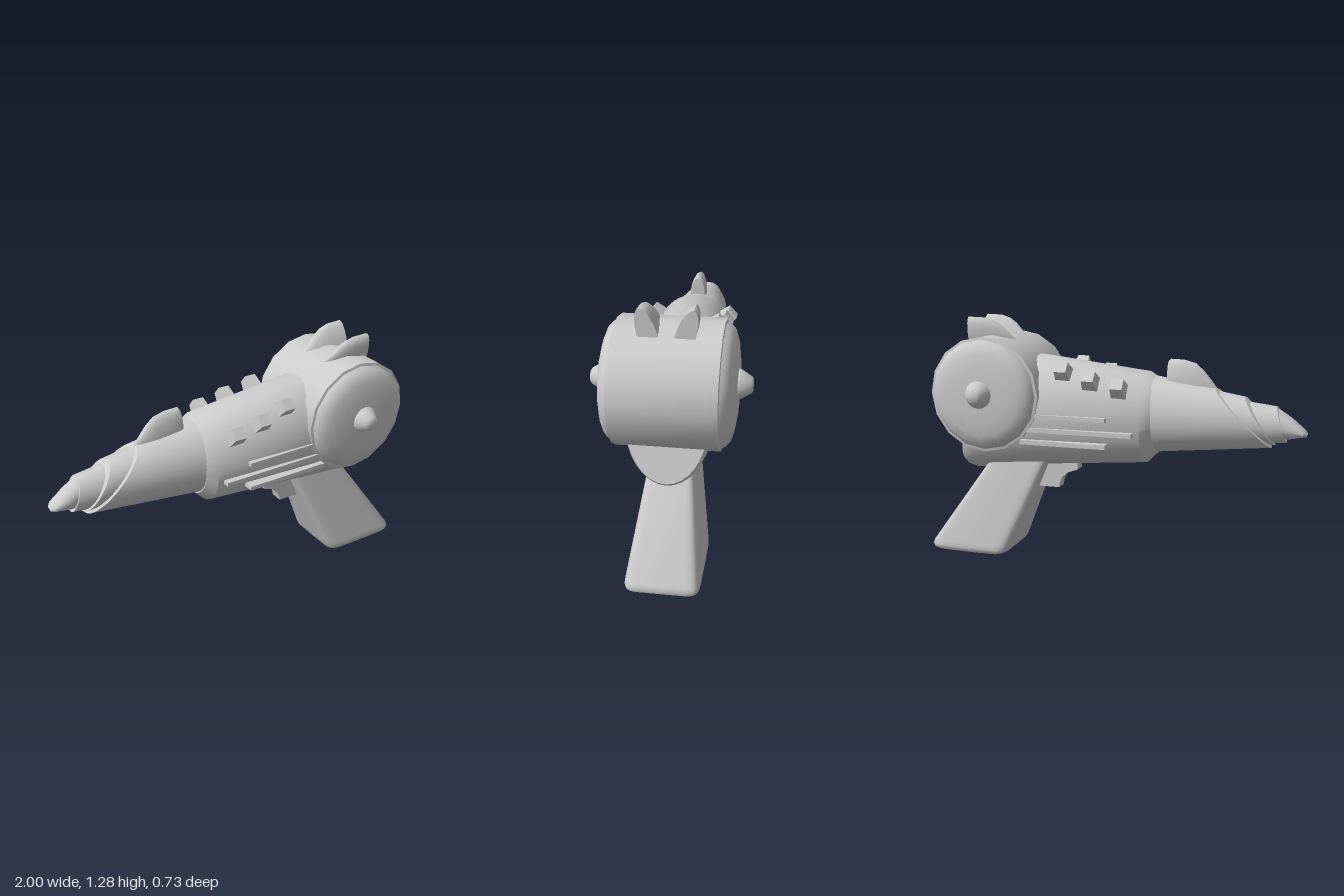
import * as THREE from 'three';
import { toCreasedNormals } from 'three/addons/utils/BufferGeometryUtils.js';

const material = new THREE.MeshStandardMaterial({ color: 0xcccccc, side: THREE.DoubleSide });

function add(parent, name, geometry, crease = 0.6) {
  const mesh = new THREE.Mesh(toCreasedNormals(geometry, crease), material);
  mesh.name = name;
  parent.add(mesh);
  return mesh;
}

// Skins rings given as [ax, ay, bx, by, halfWidth]: each ring spans A to B in
// the xy plane and halfWidth in z. power 1 is an ellipse, lower is boxier.
function loft(rings, segments = 24, power = 1) {
  const pos = [], index = [];
  const bend = (v) => Math.sign(v) * Math.pow(Math.abs(v) < 1e-6 ? 0 : Math.abs(v), power);
  for (const [ax, ay, bx, by, w] of rings) {
    for (let j = 0; j < segments; j++) {
      const t = (j / segments) * Math.PI * 2;
      const c = bend(Math.cos(t)) / 2, s = bend(Math.sin(t));
      pos.push((ax + bx) / 2 + (ax - bx) * c, (ay + by) / 2 + (ay - by) * c, w * s);
    }
  }
  const last = (rings.length - 1) * segments;
  const capA = pos.length / 3, capB = capA + 1;
  for (const [ax, ay, bx, by] of [rings[0], rings[rings.length - 1]]) pos.push((ax + bx) / 2, (ay + by) / 2, 0);
  for (let j = 0; j < segments; j++) {
    const k = (j + 1) % segments;
    for (let i = 0; i < last; i += segments) {
      index.push(i + j, i + k, i + segments + j, i + k, i + segments + k, i + segments + j);
    }
    index.push(capA, k, j, capB, last + j, last + k);
  }
  const g = new THREE.BufferGeometry();
  g.setAttribute('position', new THREE.Float32BufferAttribute(pos, 3));
  g.setIndex(index);
  return g;
}

// Shark-like fin: rises along +x and ends in a blunt back
function fin(points) {
  return loft(points.map(([x, base, h, w]) => [x, base + h, x, base - h, w]), 20);
}

export function createModel() {
  const model = new THREE.Group();
  model.name = 'toyBlaster';

  // Main body, with a chamfered front and a slanted, rounded tail
  add(model, 'body', loft([
    [-0.25, 0.99, -0.25, 0.6, 0.17],
    [-0.2, 1.02, -0.2, 0.55, 0.205],
    [0.38, 1.09, 0.38, 0.5, 0.23],
    [0.64, 1.08, 0.75, 0.456, 0.205],
    [0.66, 1.04, 0.8, 0.468, 0.195],
    [0.68, 1.0, 0.825, 0.49, 0.18],
  ], 32));

  // Nose of overlapping slanted sleeves
  add(model, 'nose', loft([
    [-1, 0.745, -0.995, 0.728, 0.02],
    [-0.985, 0.765, -0.975, 0.725, 0.042],
    [-0.92, 0.82, -0.91, 0.712, 0.055],
    [-0.855, 0.862, -0.89, 0.71, 0.058],
    [-0.85, 0.872, -0.9, 0.695, 0.07],
    [-0.715, 0.888, -0.84, 0.69, 0.085],
    [-0.69, 0.912, -0.845, 0.68, 0.098],
    [-0.56, 0.934, -0.82, 0.682, 0.102],
    [-0.54, 0.95, -0.83, 0.665, 0.115],
    [-0.23, 1.0, -0.23, 0.607, 0.172],
  ], 28), 0.5);

  // Cross drum with rounded rims
  const rim = [[0, 0.3], [0.14, 0.3], [0.21, 0.29], [0.25, 0.277], [0.272, 0.258], [0.283, 0.24], [0.297, 0.237]];
  const profile = [
    ...rim.map(([r, z]) => new THREE.Vector2(r, -z)),
    ...rim.slice().reverse().map(([r, z]) => new THREE.Vector2(r, z)),
  ];
  const drum = new THREE.LatheGeometry(profile, 16);
  drum.rotateX(Math.PI / 2).translate(0.615, 0.895, 0);
  add(model, 'drum', drum, 0.75);

  for (const side of [1, -1]) {
    const label = side > 0 ? 'Left' : 'Right';

    // Drum knob
    const knobProfile = [[0.07, 0.28], [0.07, 0.305], [0.038, 0.358], [0.028, 0.365], [0, 0.367]];
    const knob = new THREE.LatheGeometry(knobProfile.map(([r, z]) => new THREE.Vector2(r, z)), 20);
    knob.rotateX(side * Math.PI / 2).translate(0.615, 0.904, 0);
    add(model, 'knob' + label, knob);

    // Ear-like fin leaning outwards on the drum
    const ear = add(model, 'drumFin' + label, fin([
      [0.5, 0, 0.008, 0.006], [0.53, 0, 0.04, 0.02], [0.57, 0, 0.08, 0.03],
      [0.61, 0, 0.107, 0.037], [0.66, 0, 0.123, 0.042], [0.745, 0, 0.126, 0.044],
    ]));
    ear.position.set(0, 1.163, side * 0.08);
    ear.rotation.x = side * 0.3;

    // Tapered studs along the upper flank
    [[-0.09, 0.94, 0.17], [0.06, 0.972, 0.165], [0.21, 1.01, 0.145]].forEach(([x, y, z], i) => {
      const g = new THREE.CylinderGeometry(0.043, 0.062, 0.11, 4, 1);
      g.rotateY(Math.PI / 4);
      const stud = add(model, 'stud' + label + (i + 1), g, 0.3);
      stud.position.set(x, y, side * z);
      stud.rotation.x = side * 0.85;
    });

    // Raised side strips
    [[-0.035, 0.4, 0.795], [-0.17, 0.42, 0.725], [-0.035, 0.42, 0.66]].forEach(([x0, x1, y], i) => {
      const strip = add(model, 'sideStrip' + label + (i + 1), new THREE.BoxGeometry(x1 - x0, 0.022, 0.12), 0.3);
      strip.position.set((x0 + x1) / 2, y, side * 0.177);
    });
  }

  // Sight fin on the nose
  add(model, 'sightFin', fin([
    [-0.55, 0.94, 0.008, 0.006], [-0.52, 0.945, 0.042, 0.018], [-0.48, 0.95, 0.085, 0.028],
    [-0.44, 0.957, 0.112, 0.034], [-0.38, 0.965, 0.12, 0.039], [-0.31, 0.975, 0.112, 0.041],
    [-0.3, 0.975, 0.1, 0.038],
  ]));

  // Flared grip with a softly rounded foot
  add(model, 'grip', loft([
    [0.65, 0.54, 0.33, 0.54, 0.1],
    [0.69, 0.48, 0.357, 0.48, 0.108],
    [0.993, 0.055, 0.533, 0.06, 0.172],
    [1, 0.035, 0.545, 0.035, 0.175],
    [0.995, 0.018, 0.56, 0.018, 0.172],
    [0.975, 0.006, 0.585, 0.006, 0.16],
    [0.95, 0, 0.62, 0, 0.145],
  ], 32, 0.25), 0.7);

  // Trigger
  const trigger = new THREE.Shape([
    [0.18, 0.53], [0.18, 0.485], [0.235, 0.465], [0.265, 0.44], [0.28, 0.41], [0.285, 0.38], [0.42, 0.38], [0.42, 0.53],
  ].map(([x, y]) => new THREE.Vector2(x, y)));
  const triggerGeometry = new THREE.ExtrudeGeometry(trigger, { depth: 0.07, bevelEnabled: false });
  triggerGeometry.translate(0, 0, -0.035);
  add(model, 'trigger', triggerGeometry);

  return model;
}
